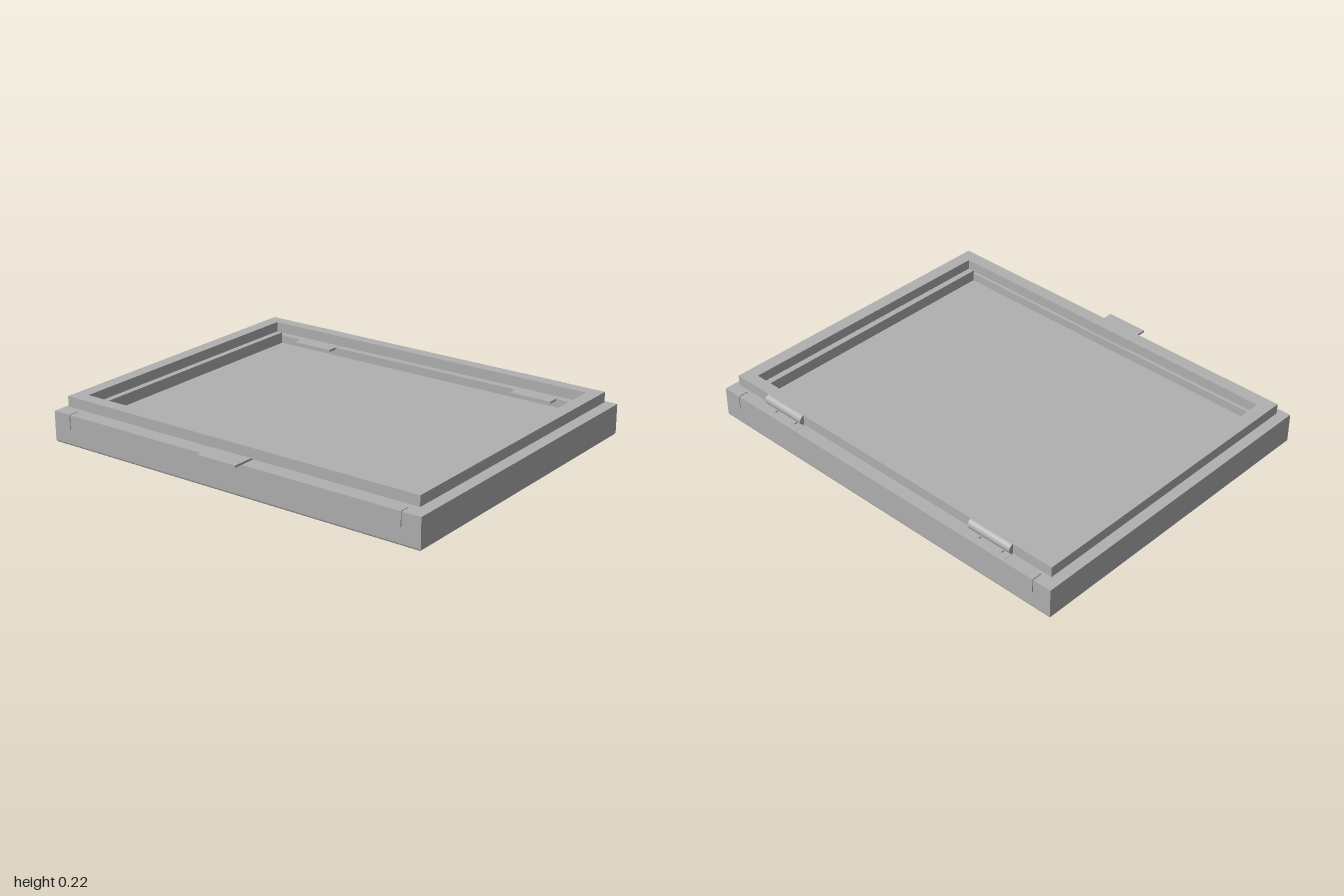
import * as THREE from 'three';

const grey = new THREE.MeshStandardMaterial({ color: 0xb0b0b0 });
grey.name = 'plain grey';

export function createModel() {
  const model = new THREE.Group();
  model.name = 'shallowCase';

  const add = (name, geometry, parent = model) => {
    const mesh = new THREE.Mesh(geometry, grey);
    mesh.name = name;
    parent.add(mesh);
    return mesh;
  };
  // box given by its lower and upper limits on each axis
  const block = (name, x0, x1, y0, y1, z0, z1, parent) =>
    add(name, new THREE.BoxGeometry(x1 - x0, y1 - y0, z1 - z0), parent)
      .position.set((x0 + x1) / 2, (y0 + y1) / 2, (z0 + z1) / 2);

  const outline = (Type, x, z0, z1) => {
    const p = new Type();
    p.moveTo(-x, -z0);
    p.lineTo(-x, -z1);
    p.lineTo(x, -z1);
    p.lineTo(x, -z0);
    p.closePath();
    return p;
  };
  // flat rectangular ring standing between two heights
  const ring = (name, y0, y1, outer, inner) => {
    const shape = outline(THREE.Shape, ...outer);
    shape.holes.push(outline(THREE.Path, ...inner));
    const g = new THREE.ExtrudeGeometry(shape, { depth: y1 - y0, bevelEnabled: false });
    g.rotateX(-Math.PI / 2);
    g.translate(0, y0, 0);
    add(name, g);
  };

  // base: rounded underside, solid floor and pocket rim
  const under = new THREE.ExtrudeGeometry(outline(THREE.Shape, 0.988, -0.818, 0.758), {
    depth: 0.008, bevelThickness: 0.012, bevelSize: 0.012, bevelSegments: 3,
  });
  under.rotateX(-Math.PI / 2);
  under.translate(0, 0.012, 0);
  add('baseUnderside', under);
  block('baseFloor', -1, 1, 0.012, 0.11, -0.78, 0.72);
  ring('baseRim', 0.11, 0.15, [1, -0.78, 0.72], [0.865, -0.72, 0.655]);

  // front and back walls with a narrow slit near each corner
  const wall = new THREE.Shape();
  wall.moveTo(-1, 0.012);
  wall.lineTo(1, 0.012);
  wall.lineTo(1, 0.15);
  for (const x of [0.905, -0.905]) {
    wall.lineTo(x + 0.002, 0.15);
    wall.lineTo(x + 0.002, 0.08);
    wall.lineTo(x - 0.002, 0.08);
    wall.lineTo(x - 0.002, 0.15);
  }
  wall.lineTo(-1, 0.15);
  wall.closePath();
  for (const [name, z] of [['frontWall', 0.72], ['backWall', -0.83]]) {
    add(name, new THREE.ExtrudeGeometry(wall, { depth: 0.05, bevelEnabled: false })).position.z = z;
  }

  // lid frame, raised on two side rails
  ring('lidFrame', 0.165, 0.215, [0.96, -0.78, 0.72], [0.895, -0.72, 0.655]);
  for (const s of [-1, 1]) {
    block('sideRail', s * 0.88 - 0.016, s * 0.88 + 0.016, 0.149, 0.166, -0.718, 0.657);
  }

  // opening tab under the lid
  block('openingTab', -0.105, 0.105, 0.157, 0.167, 0.66, 0.825);

  // hinges: leaf, barrel and two screws each
  for (const s of [-1, 1]) {
    const hinge = new THREE.Group();
    hinge.name = 'hinge';
    hinge.position.x = s * 0.633;
    model.add(hinge);
    block('hingeLeaf', -0.108, 0.108, 0.14, 0.151, -0.8305, -0.67, hinge);
    const barrel = add('hingeBarrel', new THREE.CylinderGeometry(0.025, 0.025, 0.235, 24), hinge);
    barrel.rotation.z = Math.PI / 2;
    barrel.position.set(0, 0.19, -0.777);
    for (const x of [-0.064, 0.064]) {
      add('hingeScrew', new THREE.CylinderGeometry(0.008, 0.01, 0.008, 16), hinge)
        .position.set(x, 0.154, -0.79);
    }
  }
  return model;
}
